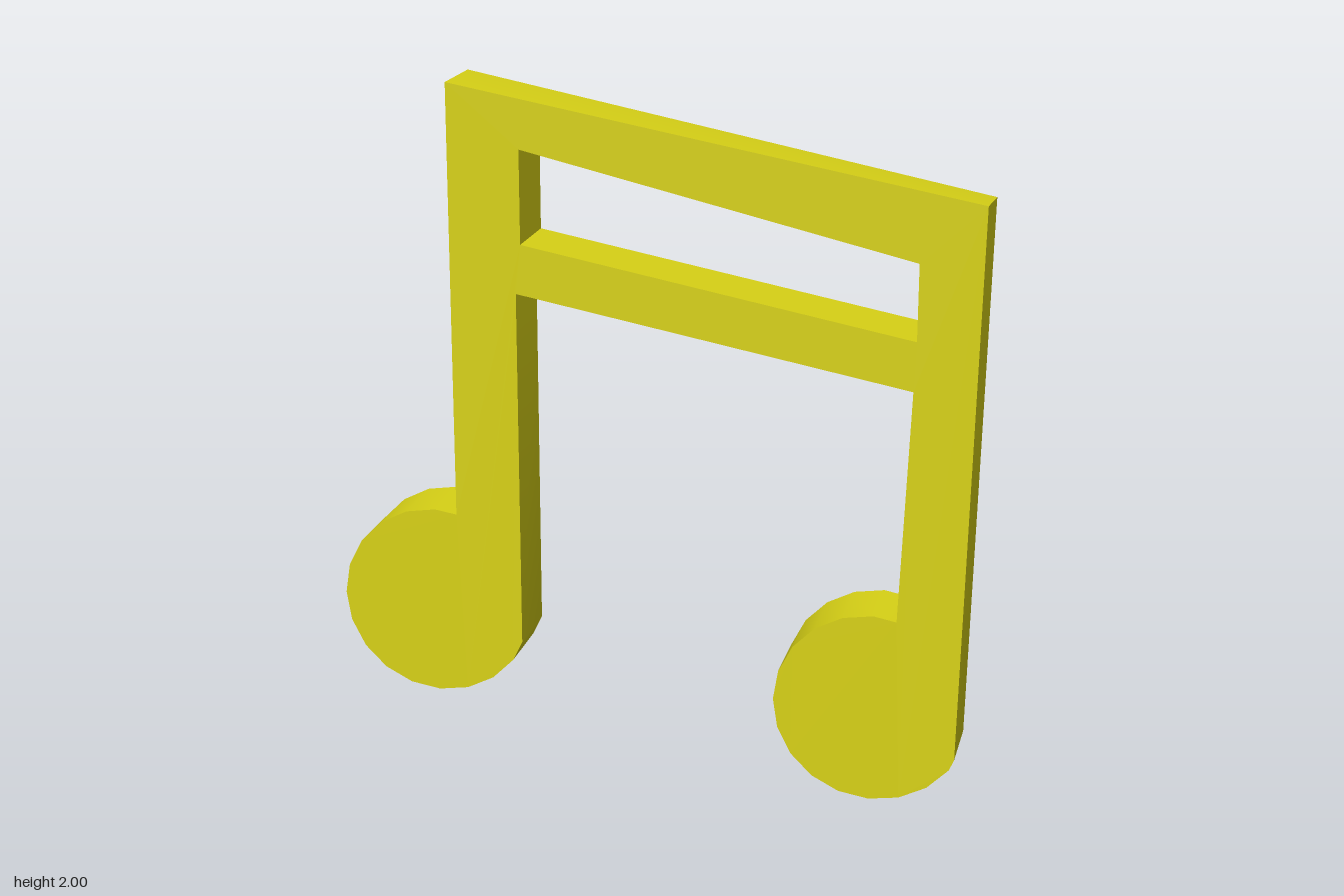
import * as THREE from 'three';
import { toCreasedNormals } from 'three/addons/utils/BufferGeometryUtils.js';

const DEPTH = 0.2;

// Faceted round note head, from its top anticlockwise round to the stem
function headArc(cx, cy, r) {
  const points = [];
  for (let i = 0; i <= 13; i++) {
    const a = Math.PI / 2 + (i * Math.PI) / 10;
    points.push([cx + r * Math.cos(a), cy + r * Math.sin(a)]);
  }
  return points;
}

const toVectors = (points) => points.map(([x, y]) => new THREE.Vector2(x, y));

export function createModel() {
  const group = new THREE.Group();
  group.name = 'beamedNotes';

  // Outline: left head and stem, lower beam, right head and stem, upper beam
  const shape = new THREE.Shape(toVectors([
    [-0.57, 2], [-0.57, 0.755],
    ...headArc(-0.635, 0.485, 0.28),
    [-0.38, 0.38], [-0.38, 1.42],
    [0.73, 1.22], [0.705, 0.55],
    ...headArc(0.64, 0.282, 0.28),
    [0.88, 0.15], [0.91, 1.74],
  ]));

  // Slot between the two beams
  shape.holes.push(new THREE.Path(toVectors([
    [-0.365, 1.56], [-0.365, 1.825], [0.735, 1.575], [0.735, 1.36],
  ])));

  const geometry = new THREE.ExtrudeGeometry(shape, { depth: DEPTH, bevelEnabled: false });
  geometry.translate(0, 0, -DEPTH / 2);

  // The back corners of the slot and upper beam sit slightly lower
  const position = geometry.attributes.position;
  const lowerBackCorner = (x, y, drop) => {
    for (let i = 0; i < position.count; i++) {
      const near = Math.hypot(position.getX(i) - x, position.getY(i) - y) < 0.005;
      if (near && position.getZ(i) < 0) position.setY(i, y - drop);
    }
  };
  lowerBackCorner(-0.365, 1.825, 0.047);
  lowerBackCorner(0.91, 1.74, 0.02);

  const material = new THREE.MeshStandardMaterial({ color: 0xd8d216 });
  const body = new THREE.Mesh(toCreasedNormals(geometry, Math.PI / 6), material);
  body.name = 'notesAndBeams';
  group.add(body);
  return group;
}
